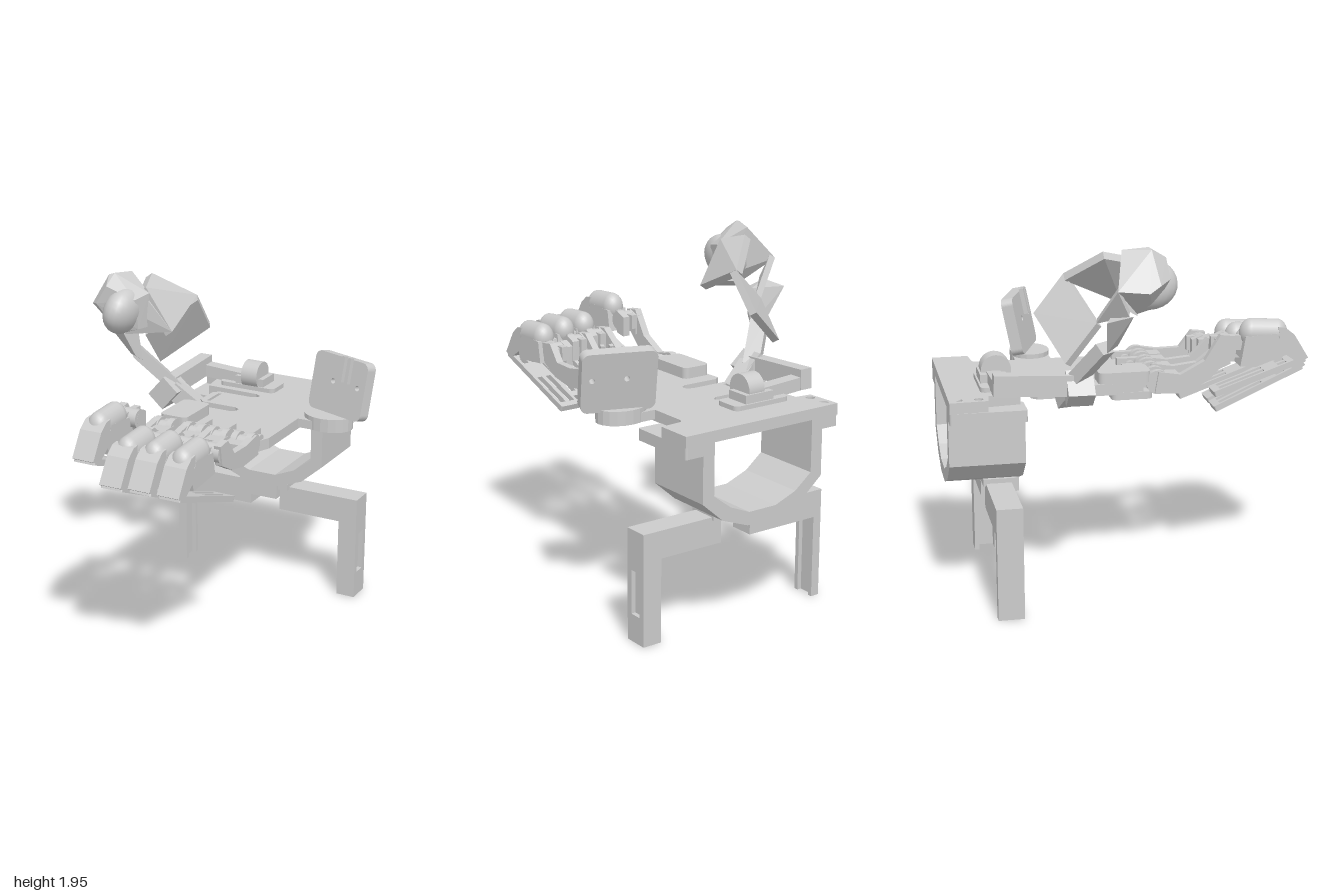
import * as THREE from 'three';
import { ConvexGeometry } from 'three/addons/geometries/ConvexGeometry.js';

export function createModel() {
  const model = new THREE.Group();
  const mat = new THREE.MeshStandardMaterial({ color: 0xcccccc });
  const flat = new THREE.MeshStandardMaterial({ color: 0xcccccc, flatShading: true });
  const V = (x, y, z) => new THREE.Vector3(x, y, z);

  const add = (name, geo, parent = model, m = mat) => {
    const mesh = new THREE.Mesh(geo, m);
    mesh.name = name;
    parent.add(mesh);
    return mesh;
  };
  // box given by its limits
  const box = (name, x0, x1, y0, y1, z0, z1, parent) =>
    add(name, new THREE.BoxGeometry(x1 - x0, y1 - y0, z1 - z0)
      .translate((x0 + x1) / 2, (y0 + y1) / 2, (z0 + z1) / 2), parent);
  // outline, always counter-clockwise so that holes face correctly
  const toShape = list => {
    const pts = list.map(p => new THREE.Vector2(p[0], p[1]));
    return new THREE.Shape(THREE.ShapeUtils.isClockWise(pts) ? pts.reverse() : pts);
  };
  const circle = (x, y, r) => new THREE.Path().absarc(x, y, r, 0, Math.PI * 2, true);
  const rectHole = (x0, x1, y0, y1) => new THREE.Path([[x0, y0], [x0, y1], [x1, y1], [x1, y0]].map(p => new THREE.Vector2(...p)));
  const extrude = (shape, depth) => new THREE.ExtrudeGeometry(shape, { depth, bevelEnabled: false, curveSegments: 10 });
  const roundRect = (x0, x1, y0, y1, r) => {
    const s = new THREE.Shape();
    s.absarc(x1 - r, y1 - r, r, 0, Math.PI / 2);
    s.absarc(x0 + r, y1 - r, r, Math.PI / 2, Math.PI);
    s.absarc(x0 + r, y0 + r, r, Math.PI, Math.PI * 1.5);
    s.absarc(x1 - r, y0 + r, r, Math.PI * 1.5, Math.PI * 2);
    return s;
  };
  // flat plate drawn as (x, -z), rising from y
  const plate = (name, shape, y, h, parent) => add(name, extrude(shape, h).rotateX(-Math.PI / 2).translate(0, y, 0), parent);
  // profile drawn as (z, y), spanning x0..x1
  const side = (name, shape, x0, x1, parent) => add(name, extrude(shape, x1 - x0).rotateY(-Math.PI / 2).translate(x1, 0, 0), parent);
  const pin = (name, x, y, z, r, len, parent) =>
    add(name, new THREE.CylinderGeometry(r, r, len, 24).rotateZ(Math.PI / 2).translate(x, y, z), parent);
  const hull = (name, pts, parent) => add(name, new ConvexGeometry(pts.map(p => V(...p))), parent, flat);
  // slab: corner points thickened by an offset
  const slab = (name, pts, d, parent) => hull(name, [...pts, ...pts.map(p => p.map((c, i) => c + d[i]))], parent);
  // rectangular bar between two points
  const beam = (name, a, b, w, t, parent) => {
    const A = V(...a), B = V(...b);
    const m = add(name, new THREE.BoxGeometry(w, t, A.distanceTo(B)), parent);
    m.position.copy(A).add(B).multiplyScalar(0.5);
    m.lookAt(B);
  };

  // Stand: two L-shaped channel legs, the left one with a recessed window
  for (const [s, inner, outer, wide] of [[-1, 0.08, 0.57, 0.05], [1, 0.11, 0.6, 0.11]]) {
    const leg = new THREE.Group();
    leg.name = s > 0 ? 'leftLeg' : 'rightLeg';
    model.add(leg);
    const span = (name, a, b, ...r) => box(name, Math.min(s * a, s * b), Math.max(s * a, s * b), ...r, leg);
    const wall = toShape([[-0.786, 0], [-0.647, 0], [-0.647, 0.61], [-0.786, 0.61]]);
    if (s > 0) {
      wall.holes.push(rectHole(-0.75, -0.68, 0.15, 0.39));
      span('windowPanel', outer - 0.045, outer - 0.025, 0.12, 0.42, -0.77, -0.66);
    }
    const xa = s > 0 ? outer - 0.025 : -outer;
    side('legOuterWall', wall, xa, xa + 0.025, leg);
    span('barTop', inner, outer - 0.02, 0.585, 0.61, -0.786, -0.647);
    for (const z of [-0.786, -0.672]) {
      span('legFlange', outer - wide, outer - 0.02, 0, 0.6, z, z + 0.025);
      span('barFlange', inner, outer - 0.02, 0.46, 0.6, z, z + 0.025);
    }
    span('barEnd', inner, inner + 0.025, 0.46, 0.6, -0.786, -0.647);
  }
  box('legJoint', -0.08, 0.11, 0.54, 0.66, -0.65, -0.6);
  box('legSocket', -0.14, 0.17, 0.595, 0.635, -0.8, -0.62);

  // Forearm cuff with drilled top flanges
  const cuff = toShape([[-0.37, 1.1], [-0.37, 0.79], [-0.24, 0.68], [-0.08, 0.62], [0.11, 0.62], [0.27, 0.68], [0.395, 0.79], [0.395, 1.1],
    [0.325, 1.1], [0.325, 0.82], [0.22, 0.74], [0.1, 0.69], [-0.07, 0.69], [-0.2, 0.74], [-0.3, 0.82], [-0.3, 1.1]]);
  add('cuff', extrude(cuff, 0.4).translate(0, 0, -1));
  const boltRows = [0.95, 0.845];
  for (const [x0, x1, hx] of [[-0.47, -0.3, -0.42], [0.325, 0.5, 0.45]]) {
    const flange = roundRect(x0, x1, 0.6, 1, 0.012);
    for (const y of boltRows) flange.holes.push(circle(hx, y, 0.024));
    plate('cuffFlange', flange, 1.04, 0.062);
  }

  // Palm plate
  const palm = toShape([[-0.47, 1], [0.5, 1], [0.5, 0.8], [0.37, 0.79], [0.36, 0.76], [0.36, 0], [0.33, -0.08], [-0.07, -0.09], [-0.1, -0.05],
    [-0.26, -0.05], [-0.27, 0.26], [-0.24, 0.28], [-0.03, 0.28], [0, 0.3], [0, 0.33], [-0.03, 0.35], [-0.24, 0.35], [-0.27, 0.38],
    [-0.27, 0.52], [-0.24, 0.55], [-0.03, 0.55], [0, 0.57], [0, 0.59], [-0.03, 0.61], [-0.35, 0.62], [-0.37, 0.79], [-0.46, 0.8]]);
  for (const x of [-0.42, 0.45]) for (const y of boltRows) palm.holes.push(circle(x, y, 0.024));
  palm.holes.push(rectHole(-0.23, -0.21, 0.38, 0.52));
  plate('palm', palm, 1.1, 0.06);
  plate('indexMount', roundRect(-0.265, -0.1, -0.09, 0.19, 0.03), 1.16, 0.06);
  plate('indexMountBase', roundRect(-0.265, -0.1, -0.1, 0.12, 0.03), 1.07, 0.04);

  // Side pad on a round base
  const padBase = new THREE.Shape().absellipse(0.5, 0.45, 0.14, 0.11, 0, Math.PI * 2);
  plate('padBase', padBase, 1.11, 0.075);
  box('padBracket', 0.35, 0.5, 1.11, 1.16, -0.55, -0.35);
  const pad = new THREE.Group();
  pad.name = 'sidePad';
  pad.position.set(0.54, 1.18, -0.465);
  pad.rotation.set(-0.2, -0.34, 0, 'YXZ');
  model.add(pad);
  const padShape = roundRect(-0.195, 0.195, 0, 0.325, 0.04);
  padShape.holes.push(circle(-0.04, 0.18, 0.015), circle(0.14, 0.18, 0.015));
  add('padPlate', extrude(padShape, 0.065).translate(0, 0, -0.035), pad);
  for (const x of [0.02, 0.065]) box('padRib', x, x + 0.02, 0.19, 0.335, 0.03, 0.055, pad);

  // Fingers: x centre, height and depth offsets of the tip, rail side, pad length and slope
  const fingers = [['index', -0.2, 0.09, -0.045, -1, 0.53, 0.335], ['middle', -0.015, 0, 0, -1, 0.54, 0.42],
    ['ring', 0.132, -0.005, -0.03, -1, 0.51, 0.42], ['little', 0.28, -0.02, -0.06, 1, 0.6, 0.34]];
  for (const [label, x, dy, dz, s, len, slope] of fingers) {
    const f = new THREE.Group();
    f.name = label + 'Finger';
    model.add(f);
    const w = 0.0625;
    const shifted = pts => toShape(pts.map(p => [p[0] + dz, p[1] + dy]));
    // knuckle hinge
    box('knuckleTongue', x - 0.02, x + 0.02, 1.12, 1.2, -0.02, 0.15, f);
    pin('knucklePin', x, 1.155, 0.14, 0.05, 0.05, f);
    for (const k of [-1, 1]) {
      pin('knuckleDisc', x + k * 0.042, 1.155, 0.13, 0.065, 0.034, f);
      pin('palmBolt', x + k * 0.042, 1.16, 0.05, 0.03, 0.03, f);
    }
    // link: end blocks joined by one side rail
    const jy = 1.25 + dy, jz = 0.55 + dz;
    const rail = toShape([[0.11, 1.1], [0.28, 1.09], [0.4, 1.12 + dy * 0.4], [jz + 0.02, jy - 0.06], [jz + 0.04, jy + 0.05],
      [jz - 0.04, jy + 0.06], [0.38, 1.21 + dy * 0.6], [0.25, 1.195], [0.13, 1.215]]);
    const rx = x + s * (w - 0.01);
    side('linkRail', rail, rx - 0.02, rx + 0.02, f);
    box('linkBase', x - w, x + w, 1.1, 1.19, 0.15, 0.25, f);
    const head = toShape([[jz - 0.06, jy - 0.08], [jz, jy - 0.07], [jz + 0.03, jy], [jz, jy + 0.055], [jz - 0.06, jy + 0.03]]);
    for (const k of [-1, 1]) side('linkHead', head, x + k * 0.042 - 0.021, x + k * 0.042 + 0.021, f);
    pin('tipPin', x, jy, jz, 0.05, 0.125, f);
    // rounded fingertip and its hinge tongue
    box('tipTongue', x - 0.018, x + 0.018, jy - 0.04, jy + 0.04, jz - 0.08, jz + 0.12, f);
    const cap = add('fingertip', new THREE.CapsuleGeometry(w, 0.14, 8, 20).rotateX(Math.PI / 2).scale(1, 1.25, 1), f);
    cap.position.set(x, 1.295 + dy, 0.745 + dz * 0.6);
    cap.rotation.x = 0.06;
    side('fingertipBody', shifted([[0.63, 1.17], [0.65, 1.29], [0.82, 1.3], [0.87, 1.22], [0.85, 1.15]]), x - w, x + w, f);
    // hooked tip and slotted pad folding back underneath
    side('tipHook', shifted([[0.83, 1.335], [0.87, 1.33], [0.92, 1.29], [1.0, 1.16], [0.95, 1.13], [0.85, 1.2]]), x - w, x + w, f);
    const strip = roundRect(-w, w, 0, len, 0.008);
    for (const k of [-0.028, 0.028]) {
      strip.holes.push(rectHole(k - 0.016, k + 0.016, len - 0.3, len - 0.04));
      strip.holes.push(rectHole(k - 0.016, k + 0.016, 0.1, 0.15));
    }
    const fingerPad = add('fingerPad', extrude(strip, 0.032).rotateX(-Math.PI / 2), f);
    fingerPad.position.set(x, 1.14 + dy, 0.99 + dz);
    fingerPad.rotation.x = -slope;
  }

  // Thumb: swivel mount on the palm
  const thumb = new THREE.Group();
  thumb.name = 'thumb';
  model.add(thumb);
  plate('thumbMount', roundRect(-0.3, 0.05, 0.66, 0.82, 0.03), 1.16, 0.025, thumb);
  box('thumbHousing', -0.2, -0.02, 1.16, 1.23, -0.81, -0.67, thumb);
  pin('thumbSwivel', -0.1, 1.24, -0.72, 0.08, 0.1, thumb);
  // cranked arm reaching out and forward
  beam('thumbCrossArm', [-0.12, 1.2, -0.735], [-0.45, 1.22, -0.735], 0.075, 0.07, thumb);
  beam('thumbArm', [-0.45, 1.24, -0.775], [-0.45, 1.22, -0.34], 0.075, 0.11, thumb);
  beam('thumbBrace', [-0.28, 1.1, -0.38], [-0.43, 1.22, -0.34], 0.1, 0.1, thumb);
  const joint = box('thumbJoint', -0.075, 0.075, -0.06, 0.06, -0.07, 0.07, thumb);
  joint.position.set(-0.45, 1.2, -0.33);
  joint.rotation.z = 0.85;
  // slim link rising outwards
  beam('thumbLink', [-0.42, 1.22, -0.36], [-0.59, 1.44, -0.22], 0.09, 0.07, thumb);
  hull('thumbLinkHead', [[-0.63, 1.42, -0.22], [-0.54, 1.4, -0.2], [-0.74, 1.6, -0.24], [-0.71, 1.62, -0.1], [-0.59, 1.58, -0.08],
    [-0.56, 1.6, -0.18], [-0.56, 1.44, -0.15]], thumb);
  // back panel, side panels and front web
  slab('thumbBackPanel', [[-0.3, 1.57, -0.54], [-0.29, 1.77, -0.38], [-0.56, 1.36, -0.42], [-0.56, 1.56, -0.26]], [0.02, -0.02, 0.03], thumb);
  slab('thumbSidePanel', [[-0.48, 1.91, -0.21], [-0.29, 1.77, -0.38], [-0.28, 1.635, -0.08], [-0.43, 1.87, -0.06]], [-0.04, -0.03, 0], thumb);
  slab('thumbOuterPanel', [[-0.56, 1.56, -0.26], [-0.72, 1.75, -0.18], [-0.7, 1.62, -0.12]], [0.03, 0.02, 0.01], thumb);
  hull('thumbFrontWeb', [[-0.28, 1.635, -0.08], [-0.3, 1.66, -0.12], [-0.56, 1.59, -0.05], [-0.55, 1.63, -0.12], [-0.44, 1.83, -0.05], [-0.55, 1.75, -0.02]], thumb);
  // blunt end section with a domed tip
  hull('thumbEnd', [[-0.73, 1.735, -0.02], [-0.71, 1.77, 0.04], [-0.62, 1.935, 0.01], [-0.59, 1.945, 0], [-0.59, 1.89, 0.09], [-0.65, 1.79, 0.1],
    [-0.56, 1.93, -0.13], [-0.72, 1.75, -0.18], [-0.41, 1.84, -0.06], [-0.44, 1.82, 0.04], [-0.56, 1.6, -0.05], [-0.55, 1.62, 0.03],
    [-0.42, 1.65, -0.06], [-0.44, 1.65, 0.01]], thumb);
  const tip = add('thumbTip', new THREE.SphereGeometry(1, 20, 14).scale(0.095, 0.13, 0.15), thumb);
  tip.position.set(-0.53, 1.745, 0.015);
  tip.rotation.z = -0.25;

  return model;
}
